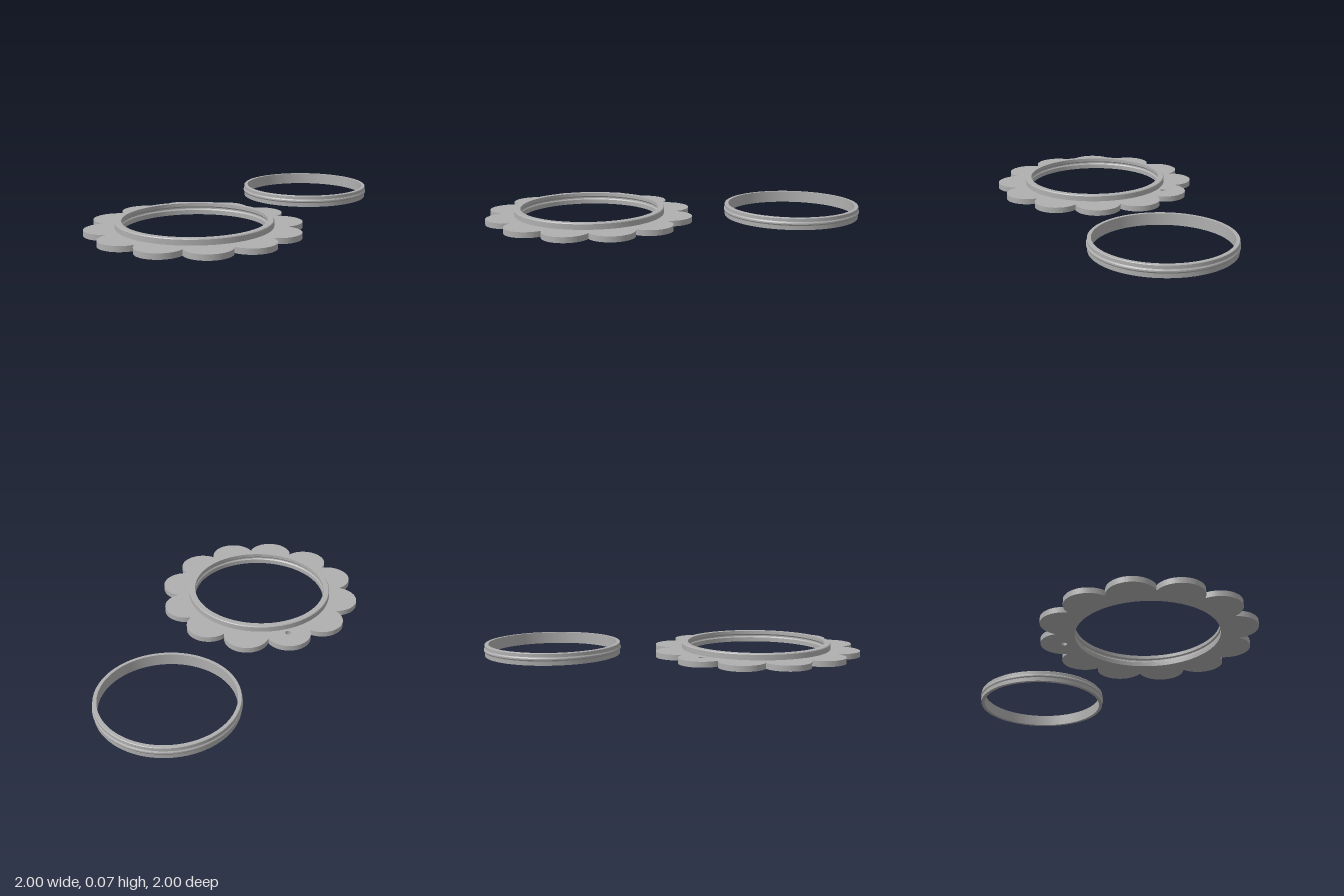
import * as THREE from 'three';
import { toCreasedNormals } from 'three/addons/utils/BufferGeometryUtils.js';

const grey = new THREE.MeshStandardMaterial({ color: 0xb0b0b0 });
grey.name = 'grey';

function part(name, geometry) {
  const mesh = new THREE.Mesh(toCreasedNormals(geometry, 0.4), grey);
  mesh.name = name;
  return mesh;
}

// Closed [radius, height] outline, anticlockwise, spun about the y axis
function spin(profile) {
  const points = [...profile, profile[0]].map(([r, y]) => new THREE.Vector2(r, y));
  return new THREE.LatheGeometry(points, 128);
}

// Flat plate with twelve round petals, a centre opening and a hanging hole
function petalPlate() {
  const count = 12, distance = 0.513, radius = 0.143, thickness = 0.035;
  const half = Math.PI / count;
  const notch = distance * Math.cos(half) + Math.sqrt(radius ** 2 - (distance * Math.sin(half)) ** 2);
  const sweep = Math.atan2(notch * Math.sin(half), notch * Math.cos(half) - distance);
  const shape = new THREE.Shape();
  for (let i = 0; i < count; i++) {
    const a = i * 2 * half;
    shape.absarc(distance * Math.cos(a), distance * Math.sin(a), radius, a - sweep, a + sweep, false);
  }
  shape.closePath();
  shape.holes.push(
    new THREE.Path().absarc(0, 0, 0.45, 0, Math.PI * 2, true),
    new THREE.Path().absarc(0, distance, 0.019, 0, Math.PI * 2, true)
  );
  const geometry = new THREE.ExtrudeGeometry(shape, { depth: thickness, bevelEnabled: false, curveSegments: 40 });
  return geometry.rotateX(-Math.PI / 2);
}

export function createModel() {
  const model = new THREE.Group();
  model.name = 'flowerFrameSet';

  // Flower frame: plate plus raised collar with a shallow snap groove inside
  const frame = new THREE.Group();
  frame.name = 'flowerFrame';
  frame.position.set(-0.343, 0, 0.343);
  frame.add(part('petalPlate', petalPlate()));
  frame.add(part('collar', spin([
    [0.433, 0], [0.45, 0], [0.45, 0.035], [0.472, 0.035], [0.472, 0.068], [0.468, 0.073],
    [0.433, 0.073], [0.433, 0.052], [0.44, 0.044], [0.44, 0.036], [0.433, 0.028]
  ])));
  model.add(frame);

  // Loose ring with a matching snap ridge around its outside
  const ring = part('snapRing', spin([
    [0.402, 0], [0.424, 0], [0.425, 0.026], [0.43, 0.034], [0.43, 0.042],
    [0.425, 0.05], [0.425, 0.07], [0.422, 0.073], [0.402, 0.073]
  ]));
  ring.position.set(0.57, 0, -0.57);
  model.add(ring);

  return model;
}
